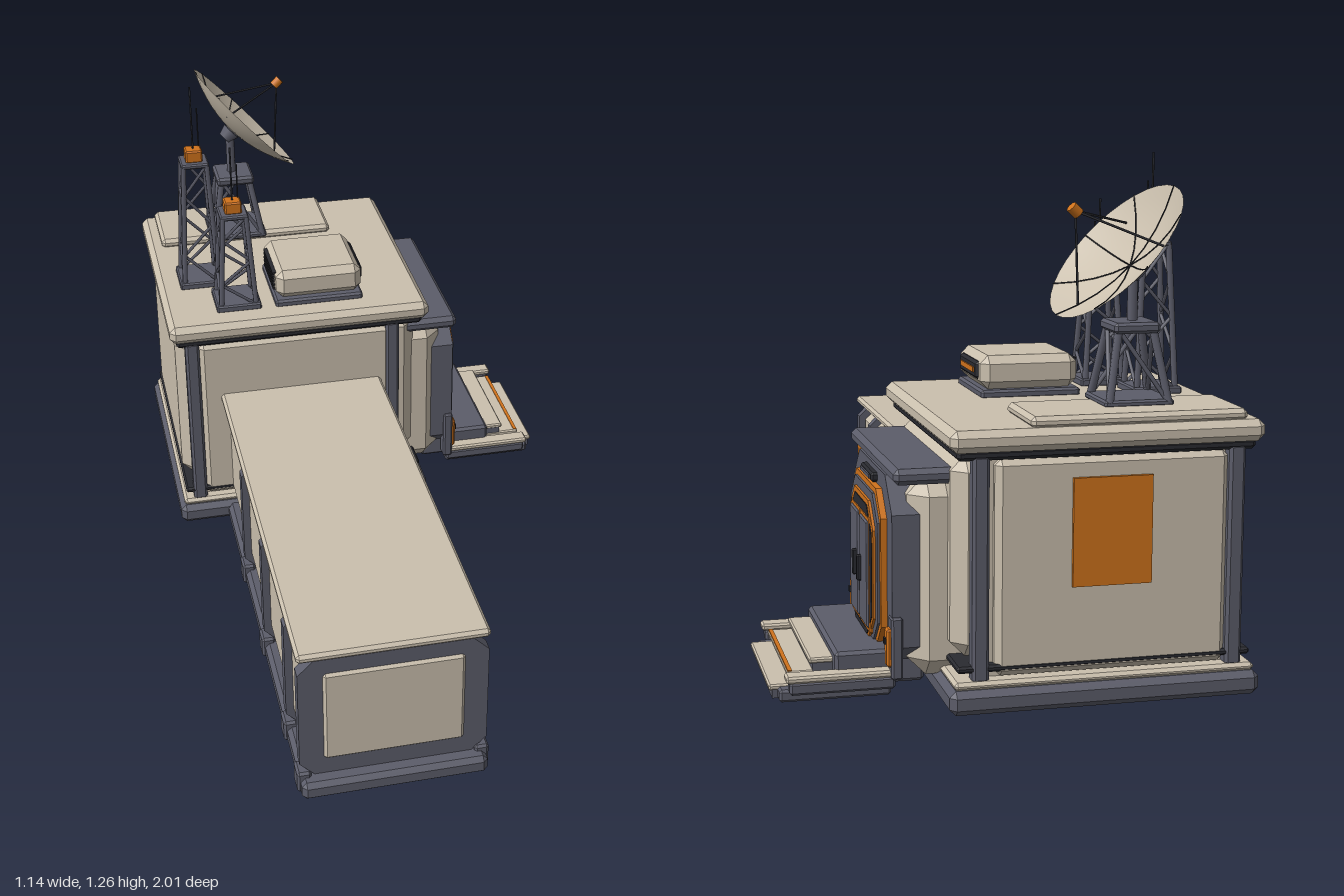
import * as THREE from 'three';
import { ConvexGeometry } from 'three/addons/geometries/ConvexGeometry.js';

const mat = (name, color, extra) => Object.assign(new THREE.MeshStandardMaterial({ color, ...extra }), { name });
const cream = mat('cream panel', 0xcbc0ae);
const dish = mat('dish cream', 0xcbc0ae, { side: THREE.DoubleSide });
const slate = mat('slate frame', 0x5c5d6a);
const dark = mat('dark trim', 0x2a2b31);
const orange = mat('orange', 0xd0731c);

function add(parent, name, geo, material) {
  const m = new THREE.Mesh(geo, material);
  m.name = name;
  parent.add(m);
  return m;
}

// Box with every edge chamfered by c, given by its extents
function box(parent, name, material, [x0, x1], [y0, y1], [z0, z1], c = 0) {
  const h = [(x1 - x0) / 2, (y1 - y0) / 2, (z1 - z0) / 2];
  let geo;
  if (c > 0) {
    const pts = [];
    for (const sx of [-1, 1]) for (const sy of [-1, 1]) for (const sz of [-1, 1])
      for (let k = 0; k < 3; k++) {
        const e = h.map((v, i) => (i === k ? v : v - c));
        pts.push(new THREE.Vector3(sx * e[0], sy * e[1], sz * e[2]));
      }
    geo = new ConvexGeometry(pts);
  } else geo = new THREE.BoxGeometry(h[0] * 2, h[1] * 2, h[2] * 2);
  const m = add(parent, name, geo, material);
  m.position.set((x0 + x1) / 2, (y0 + y1) / 2, (z0 + z1) / 2);
  return m;
}

// Straight bar between two points
function bar(parent, name, material, a, b, r, sides = 6) {
  const p = new THREE.Vector3(...a), q = new THREE.Vector3(...b);
  const m = add(parent, name, new THREE.CylinderGeometry(r, r, p.distanceTo(q), sides), material);
  m.position.copy(p).lerp(q, 0.5);
  m.quaternion.setFromUnitVectors(new THREE.Vector3(0, 1, 0), q.sub(p).normalize());
  return m;
}

// Octagonal outline: half width w, from y0 to y1, corner cut c
const octagon = (w, y0, y1, c) => [[-w + c, y0], [w - c, y0], [w, y0 + c], [w, y1 - c],
  [w - c, y1], [-w + c, y1], [-w, y1 - c], [-w, y0 + c]].map(p => new THREE.Vector2(...p));

function octagonPlate(outer, inner, depth) {
  const s = new THREE.Shape(octagon(...outer));
  if (inner) s.holes.push(new THREE.Path(octagon(...inner)));
  return new THREE.ExtrudeGeometry(s, { depth, bevelEnabled: false });
}

// Long low wing with ribs and windows
function corridor() {
  const g = new THREE.Group();
  g.name = 'corridor';
  box(g, 'corridorBase', slate, [-0.43, 0.035], [0, 0.05], [-0.3, 1], 0.012);
  box(g, 'corridorWall', cream, [-0.41, 0.02], [0.055, 0.398], [-0.32, 0.968], 0.048);
  box(g, 'corridorRoof', cream, [-0.432, 0.04], [0.398, 0.422], [-0.26, 0.968], 0.008);
  for (const z of [0.944, 0.757, 0.42, 0.088]) {
    const rib = add(g, 'corridorRib', octagonPlate([0.234, 0.045, 0.402, 0.042], null, 0.034), slate);
    rib.position.set(-0.196, 0, z - 0.017);
    for (const x of [-0.42, 0.025]) box(g, 'ribFoot', slate, [x - 0.018, x + 0.018], [0.005, 0.065], [z - 0.027, z + 0.027], 0.006);
  }
  for (const [a, b, n] of [[0.795, 0.92, 2], [0.447, 0.725, 3], [0.11, 0.388, 3], [-0.22, 0.056, 3]]) {
    box(g, 'windowFrame', dark, [0.005, 0.042], [0.205, 0.308], [a, b], 0.01);
    box(g, 'windowRim', slate, [0.03, 0.045], [0.213, 0.3], [a + 0.008, b - 0.008], 0.004);
    const w = (b - a - 0.044) / n;
    for (let i = 0; i < n; i++)
      box(g, 'windowPane', orange, [0.042, 0.05], [0.226, 0.288], [a + 0.024 + i * w, a + 0.02 + (i + 1) * w]);
  }
  for (const z of [0.583, -0.085]) {
    box(g, 'serviceBox', orange, [0.01, 0.045], [0.11, 0.157], [z - 0.024, z + 0.024], 0.004);
    box(g, 'serviceLatch', dark, [0.044, 0.052], [0.128, 0.138], [z - 0.005, z + 0.005]);
  }
  return g;
}

// Tall square block
function mainBlock() {
  const g = new THREE.Group();
  g.name = 'mainBlock';
  box(g, 'blockBase', slate, [-0.57, 0.18], [0, 0.058], [-0.982, -0.22], 0.015);
  box(g, 'baseLedge', cream, [-0.558, 0.168], [0.056, 0.076], [-0.97, -0.232], 0.008);
  box(g, 'core', cream, [-0.515, 0.1], [0.07, 0.6], [-0.93, -0.265]);
  box(g, 'lowerRail', dark, [-0.55, 0.16], [0.094, 0.11], [-0.958, -0.242], 0.005);
  box(g, 'sidePanels', cream, [-0.55, 0.157], [0.11, 0.585], [-0.905, -0.295], 0.035);
  box(g, 'endPanels', cream, [-0.49, 0.07], [0.08, 0.588], [-0.957, -0.243], 0.015);
  for (const [x, z] of [[-0.508, -0.258], [0.075, -0.258], [-0.508, -0.942], [0.105, -0.942]])
    box(g, 'cornerPost', slate, [x - 0.02, x + 0.02], [0.07, 0.6], [z - 0.02, z + 0.02], 0.007);
  box(g, 'roofTrim', dark, [-0.552, 0.162], [0.588, 0.613], [-0.962, -0.238], 0.008);
  box(g, 'roofSlab', cream, [-0.57, 0.18], [0.608, 0.66], [-0.982, -0.22], 0.016);
  box(g, 'roofPanel', cream, [-0.53, -0.01], [0.655, 0.684], [-0.965, -0.745], 0.01);
  box(g, 'backSign', orange, [-0.3, -0.11], [0.285, 0.54], [-0.966, -0.957]);
  // roof cooling unit
  box(g, 'unitBase', slate, [-0.255, 0], [0.655, 0.678], [-0.545, -0.295], 0.006);
  box(g, 'unitBody', cream, [-0.25, -0.002], [0.678, 0.762], [-0.54, -0.3], 0.02);
  box(g, 'unitVent', dark, [-0.02, 0.005], [0.7, 0.745], [-0.505, -0.335], 0.007);
  box(g, 'unitVentGlow', orange, [0, 0.008], [0.716, 0.729], [-0.485, -0.355]);
  for (let i = 0; i < 5; i++) box(g, 'unitFin', dark, [-0.256, -0.245], [0.694 + i * 0.012, 0.7 + i * 0.012], [-0.5, -0.34]);
  return g;
}

// Projecting doorway with steps, facing +x
function entrance() {
  const g = new THREE.Group();
  g.name = 'entrance';
  const C = -0.587;
  const zr = w => [C - w, C + w];
  box(g, 'entranceBody', cream, [0.08, 0.245], [0.05, 0.53], zr(0.262), 0.045);
  box(g, 'canopy', slate, [0.12, 0.287], [0.518, 0.556], zr(0.28), 0.012);
  const plate = (name, m, outer, inner, x0, x1) => {
    const p = add(g, name, octagonPlate(outer, inner, x1 - x0), m);
    p.rotation.y = Math.PI / 2;
    p.position.set(x0, 0, C);
  };
  plate('outerFrame', slate, [0.243, 0.045, 0.522, 0.08], null, 0.215, 0.285);
  const rings = [[0.186, 0.1, 0.482, orange, 0.3], [0.172, 0.106, 0.468, slate, 0.306],
    [0.15, 0.112, 0.446, orange, 0.312], [0.137, 0.114, 0.433, dark, 0.314]];
  for (const [w, y0, y1, m, x] of rings)
    plate('doorSurround', m, [w, y0, y1, 0.06], [w - 0.025, y0 + 0.012, y1 - 0.025, 0.05], 0.28, x);
  plate('doorRecess', dark, [0.14, 0.11, 0.43, 0.05], null, 0.28, 0.302);
  for (const s of [-1, 1]) {
    const z = C + s * 0.06;
    box(g, 'doorTrim', orange, [0.295, 0.315], [0.125, 0.41], [z - 0.057, z + 0.057], 0.004);
    box(g, 'doorLeaf', slate, [0.3, 0.32], [0.137, 0.398], [z - 0.05, z + 0.05], 0.004);
    box(g, 'doorHandle', dark, [0.315, 0.33], [0.235, 0.3], [C + s * 0.03 - 0.006, C + s * 0.03 + 0.006], 0.003);
    const l = C + s * 0.23;
    box(g, 'lampPost', slate, [0.26, 0.288], [0.05, 0.2], [l - 0.022, l + 0.022], 0.005);
    box(g, 'lamp', orange, [0.268, 0.298], [0.08, 0.172], [l - 0.016, l + 0.016], 0.005);
    box(g, 'lampLens', dark, [0.297, 0.303], [0.135, 0.15], [l - 0.007, l + 0.007]);
    // low side walls beside the steps
    const r = C + s * 0.217;
    box(g, 'stepSide', slate, [0.275, 0.525], [0.025, 0.056], [r - 0.02, r + 0.02], 0.006);
    box(g, 'stepSideCap', cream, [0.275, 0.533], [0.054, 0.071], [r - 0.023, r + 0.023], 0.005);
  }
  box(g, 'topLight', dark, [0.27, 0.3], [0.485, 0.508], zr(0.07), 0.005);
  box(g, 'topLightLens', slate, [0.298, 0.304], [0.492, 0.501], zr(0.055));
  box(g, 'landing', slate, [0.2, 0.414], [0.03, 0.112], zr(0.205), 0.008);
  const steps = [[0.47, 0.093], [0.522, 0.064], [0.566, 0.035]];
  for (const [x, y] of steps) {
    box(g, 'stepRiser', slate, [0.3, x - 0.008], [y - 0.033, y - 0.012], zr(0.172));
    box(g, 'stepTread', cream, [0.36, x], [y - 0.014, y], zr(0.174), 0.004);
  }
  box(g, 'stepStripe', orange, [0.51, 0.52], [0.062, 0.066], zr(0.17));
  box(g, 'stepBase', slate, [0.28, 0.545], [0, 0.03], zr(0.205), 0.006);
  return g;
}

// Four tapering legs with a cross-brace zigzag on each face
function lattice(g, x, z, y0, y1, r0, r1, levels, t) {
  const at = (k, f) => {
    const r = r0 + (r1 - r0) * f, a = k * Math.PI / 2 + Math.PI / 4;
    return [x + Math.SQRT2 * r * Math.cos(a), y0 + (y1 - y0) * f, z + Math.SQRT2 * r * Math.sin(a)];
  };
  for (let k = 0; k < 4; k++) {
    bar(g, 'mastLeg', slate, at(k, 0), at(k, 1), t);
    for (let i = 0; i < levels; i++) {
      const o = i % 2;
      bar(g, 'mastBrace', slate, at(k + o, i / levels), at(k + 1 - o, (i + 1) / levels), t * 0.6, 5);
    }
  }
}

function mast(x, z, top, tip, tip2) {
  const g = new THREE.Group();
  g.name = 'antennaMast';
  const sq = (name, m, r, y0, y1) => box(g, name, m, [x - r, x + r], [y0, y1], [z - r, z + r], 0.004);
  sq('mastFoot', slate, 0.064, 0.657, 0.678);
  lattice(g, x, z, 0.67, top, 0.05, 0.033, 4, 0.008);
  sq('mastPlatform', slate, 0.04, top - 0.008, top + 0.006);
  sq('beacon', orange, 0.024, top + 0.004, top + 0.04);
  bar(g, 'antenna', dark, [x, top, z], [x, tip, z], 0.0028);
  bar(g, 'shortAntenna', dark, [x + 0.018, top, z - 0.014], [x + 0.018, tip2, z - 0.014], 0.0022);
  return g;
}

// Tilted dish on a lattice stand
function dishAntenna() {
  const g = new THREE.Group();
  g.name = 'dishAntenna';
  const X = -0.297, Z = -0.792, R = 0.204, D = 0.055;
  box(g, 'standFoot', slate, [X - 0.085, X + 0.085], [0.68, 0.697], [Z - 0.08, Z + 0.08], 0.005);
  lattice(g, X, Z, 0.69, 0.86, 0.072, 0.042, 1, 0.01);
  box(g, 'standTop', slate, [X - 0.056, X + 0.056], [0.85, 0.876], [Z - 0.06, Z + 0.06], 0.007);
  bar(g, 'standPost', slate, [X - 0.005, 0.87, Z], [X - 0.005, 1.0, Z], 0.013, 8);
  const head = new THREE.Group();
  head.name = 'dishHead';
  head.position.set(-0.254, 1.041, -0.803);
  head.quaternion.setFromUnitVectors(new THREE.Vector3(0, 1, 0), new THREE.Vector3(0.73, 0.675, -0.1).normalize());
  g.add(head);
  const bowl = r => -D + D * (r / R) ** 2;
  const profile = Array.from({ length: 9 }, (_, i) => new THREE.Vector2(R * i / 8, bowl(R * i / 8)));
  add(head, 'dishBowl', new THREE.LatheGeometry(profile, 32), dish);
  add(head, 'dishHub', new THREE.CylinderGeometry(0.028, 0.02, 0.03, 10), slate).position.y = -D - 0.017;
  for (let k = 0; k < 8; k++) {
    const a = k * Math.PI / 4, p = r => [r * Math.cos(a), bowl(r) + 0.002, r * Math.sin(a)];
    for (let i = 0; i < 4; i++) bar(head, 'dishRib', dark, p(R * i / 4), p(R * (i + 1) / 4), 0.0016, 4);
  }
  for (let k = 0; k < 3; k++) {
    const a = k * Math.PI * 2 / 3 + 0.05, r = 0.15;
    bar(head, 'feedStrut', dark, [r * Math.cos(a), bowl(r), r * Math.sin(a)], [0, 0.14, 0], 0.003, 5);
  }
  add(head, 'feedHorn', new THREE.CylinderGeometry(0.014, 0.014, 0.026, 8), orange).position.y = 0.142;
  return g;
}

export function createModel() {
  const model = new THREE.Group();
  model.name = 'outpost';
  model.add(corridor(), mainBlock(), entrance(),
    mast(-0.444, -0.522, 1.035, 1.26, 1.19), mast(-0.36, -0.36, 0.94, 1.137, 1.08), dishAntenna());
  return model;
}
